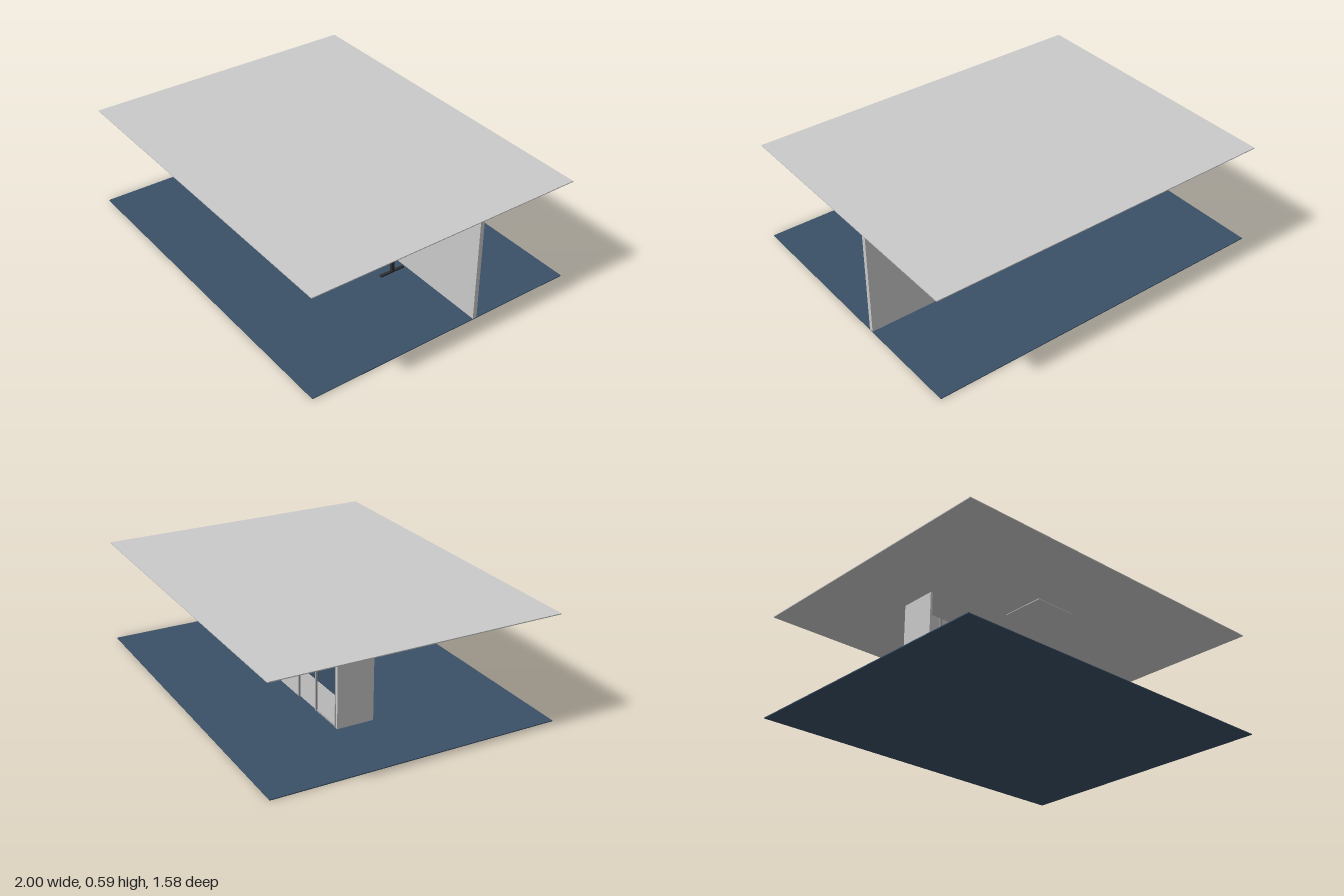
import * as THREE from 'three';

const mat = (name, color) => {
  const m = new THREE.MeshStandardMaterial({ color });
  m.name = name;
  return m;
};

export function createModel() {
  const root = new THREE.Group();
  root.name = 'workRoom';
  const wall = mat('wallGrey', 0xcacaca);
  const frame = mat('frameGrey', 0xa0a0a0);
  const navy = mat('navyBlue', 0x3b5067);
  const dark = mat('charcoal', 0x2b2d2e);
  const pale = mat('paleTop', 0xc0c2c2);

  // Box given by its low and high limits on each axis
  const box = (parent, name, m, x0, x1, y0, y1, z0, z1) => {
    const mesh = new THREE.Mesh(new THREE.BoxGeometry(x1 - x0, y1 - y0, z1 - z0), m);
    mesh.position.set((x0 + x1) / 2, (y0 + y1) / 2, (z0 + z1) / 2);
    mesh.name = name;
    parent.add(mesh);
    return mesh;
  };
  const rod = (parent, name, m, r, a, b) => {
    const p = new THREE.Vector3(...a), q = new THREE.Vector3(...b);
    const d = q.clone().sub(p);
    const mesh = new THREE.Mesh(new THREE.CylinderGeometry(r, r, d.length(), 12), m);
    mesh.position.copy(p).add(q).multiplyScalar(0.5);
    mesh.quaternion.setFromUnitVectors(new THREE.Vector3(0, 1, 0), d.normalize());
    mesh.name = name;
    parent.add(mesh);
    return mesh;
  };
  const group = (name, parent = root) => {
    const g = new THREE.Group();
    g.name = name;
    parent.add(g);
    return g;
  };

  // Floor, ceiling and ceiling light panel
  box(root, 'floor', navy, -1, 1, 0, 0.005, -0.79, 0.79);
  box(root, 'ceiling', wall, -1, 1, 0.584, 0.589, -0.79, 0.79);
  box(root, 'ceilingPanel', wall, -0.12, 0.13, 0.58, 0.584, 0.08, 0.33);

  // Solid walls
  box(root, 'backWall', wall, -0.155, 1, 0.005, 0.584, -0.207, -0.183);
  box(root, 'sideWall', wall, -0.57, -0.556, 0.005, 0.584, -0.207, 0);

  // Partition with a window band across two bays
  const partition = group('partition');
  for (const [x0, x1] of [[-0.556, -0.35], [-0.34, -0.155]]) {
    box(partition, 'lowerPanel', wall, x0, x1, 0.005, 0.175, -0.2, -0.19);
    box(partition, 'windowBand', navy, x0, x1, 0.175, 0.435, -0.199, -0.191);
    box(partition, 'upperPanel', wall, x0, x1, 0.435, 0.584, -0.2, -0.19);
  }
  for (const x of [-0.551, -0.345, -0.158])
    box(partition, 'post', frame, x - 0.005, x + 0.005, 0.005, 0.584, -0.208, -0.182);
  box(partition, 'bottomRail', frame, -0.556, -0.345, 0.005, 0.011, -0.205, -0.184);

  // Two desks on T-shaped legs
  for (const [x0, x1, l0, l1] of [[-0.155, 0.135, -0.145, 0.123], [0.185, 0.49, 0.197, 0.465]]) {
    const desk = group('desk');
    box(desk, 'deskTop', pale, x0, x1, 0.148, 0.156, -0.172, -0.005);
    box(desk, 'crossbar', dark, l0, l1, 0.136, 0.148, -0.108, -0.088);
    for (const x of [l0, l1]) {
      box(desk, 'legColumn', dark, x - 0.008, x + 0.008, 0.01, 0.148, -0.106, -0.088);
      box(desk, 'foot', dark, x - 0.008, x + 0.008, 0.005, 0.013, -0.17, -0.02);
      box(desk, 'topBracket', navy, x - 0.008, x + 0.008, 0.136, 0.147, -0.165, -0.022);
    }
  }

  // Two overlapping screens on stands
  const screens = group('screens');
  for (const [x0, x1, z] of [[0.155, 0.36, -0.146], [0.275, 0.485, -0.171]]) {
    const w = x1 - x0, r = 0.012, h = 0.092;
    const s = new THREE.Shape();
    s.moveTo(0, 0).lineTo(w, 0).lineTo(w, h).lineTo(r, h).quadraticCurveTo(0, h, 0, h - r).lineTo(0, 0);
    const screen = new THREE.Mesh(
      new THREE.ExtrudeGeometry(s, { depth: 0.007, bevelEnabled: false, curveSegments: 5 }), dark);
    screen.position.set(x0, 0.172, z - 0.0035);
    screen.name = 'screen';
    screens.add(screen);
    const c = x0 < 0.2 ? 0.25 : 0.42;
    box(screens, 'screenNeck', dark, c - 0.007, c + 0.007, 0.156, 0.2, z - 0.004, z + 0.004);
    box(screens, 'screenBase', dark, c - 0.025, c + 0.025, 0.156, 0.159, z - 0.008, z + 0.02);
  }
  box(screens, 'keyboard', dark, 0.2, 0.27, 0.156, 0.161, -0.08, -0.045);

  // Overhead camera on a post
  const camera = group('overheadCamera');
  box(camera, 'cameraPost', pale, -0.012, -0.003, 0.156, 0.365, -0.037, -0.023);
  box(camera, 'cameraArm', pale, -0.012, -0.003, 0.359, 0.366, -0.047, -0.023);
  box(camera, 'cameraHead', dark, -0.016, 0.022, 0.338, 0.355, -0.054, -0.042);

  // Pair of small jointed arms clamped to the first desk
  for (const x of [-0.072, 0.058]) {
    const arm = group('jointedArm');
    box(arm, 'armBase', dark, x - 0.02, x + 0.02, 0.156, 0.167, -0.058, -0.025);
    rod(arm, 'shoulder', dark, 0.007, [x, 0.165, -0.045], [x, 0.218, -0.045]);
    box(arm, 'motor', dark, x - 0.014, x + 0.014, 0.182, 0.204, -0.055, -0.032);
    rod(arm, 'upperArm', dark, 0.006, [x, 0.198, -0.08], [x, 0.198, -0.01]);
    rod(arm, 'forearm', dark, 0.005, [x, 0.196, -0.01], [x, 0.19, 0.03]);
    box(arm, 'gripper', dark, x - 0.01, x + 0.01, 0.184, 0.202, 0.008, 0.027);
  }
  for (const x of [-0.105, -0.04, 0.03, 0.095])
    box(root, 'deskClamp', dark, x - 0.004, x + 0.004, 0.136, 0.167, -0.016, 0);

  // Slim handles at both ends of the first desk
  for (const x of [-0.174, 0.176]) {
    rod(root, 'sideHandle', dark, 0.0025, [x, 0.135, -0.06], [x, 0.208, -0.06]);
    const end = x < 0 ? -0.15 : 0.13;
    box(root, 'handleBracket', dark, Math.min(x, end), Math.max(x, end), 0.149, 0.155, -0.064, -0.056);
  }
  return root;
}
